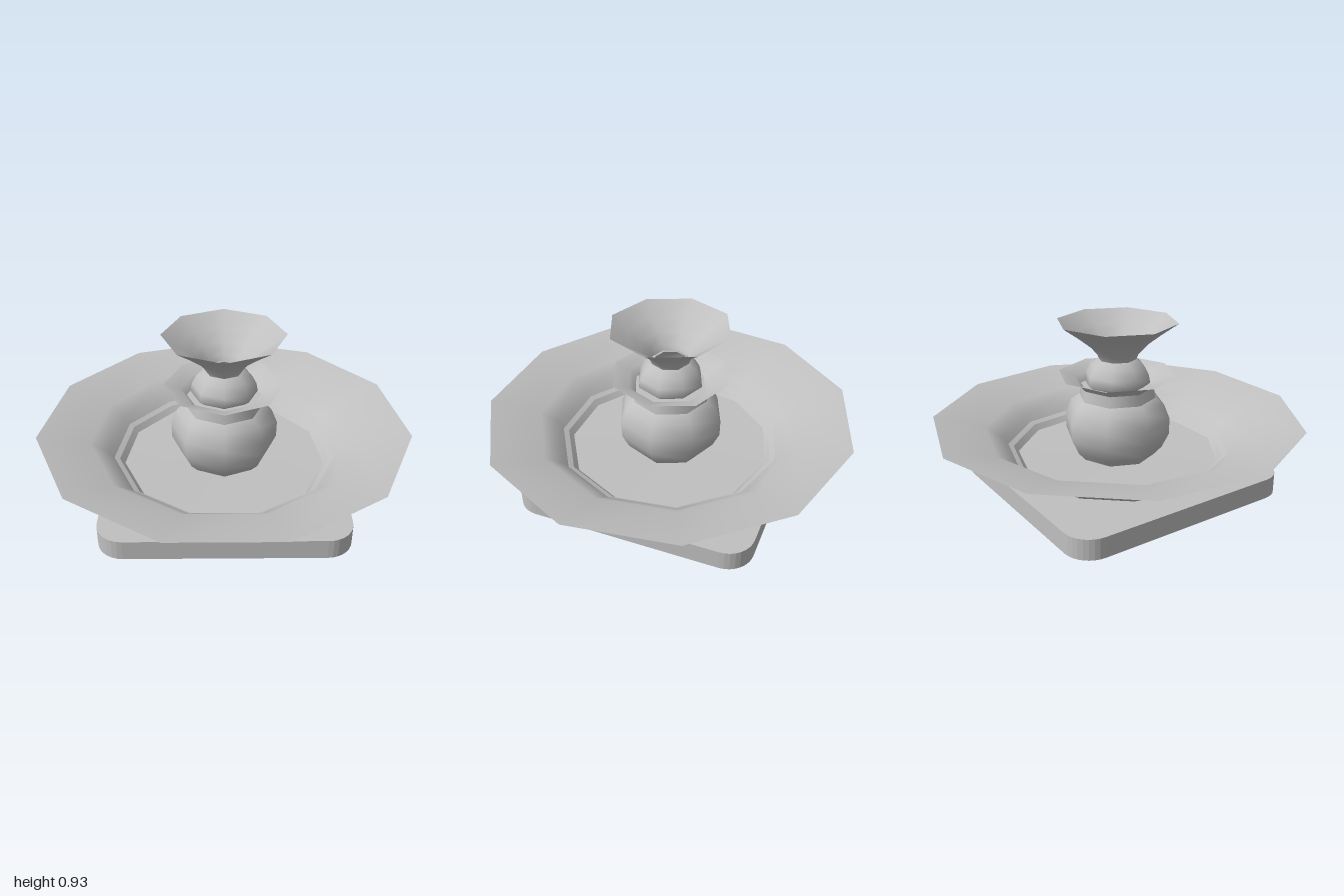
import * as THREE from 'three';

const stone = new THREE.MeshStandardMaterial({ color: 0xc0c0c0, side: THREE.DoubleSide });
stone.name = 'grey stone';

// Turned part from [radius, height] pairs
function turned(name, points, sides, turn = 0) {
  const profile = points.map(([r, y]) => new THREE.Vector2(r, y));
  const mesh = new THREE.Mesh(new THREE.LatheGeometry(profile, sides), stone);
  mesh.name = name;
  mesh.rotation.y = turn;
  return mesh;
}

// Square plinth with rounded corners
function plinth(halfX, halfZ, radius, bottom, top) {
  const x = halfX - radius, z = halfZ - radius;
  const shape = new THREE.Shape();
  shape.absarc(x, z, radius, 0, Math.PI / 2);
  shape.absarc(-x, z, radius, Math.PI / 2, Math.PI);
  shape.absarc(-x, -z, radius, Math.PI, Math.PI * 1.5);
  shape.absarc(x, -z, radius, Math.PI * 1.5, Math.PI * 2);
  const geometry = new THREE.ExtrudeGeometry(shape, {
    depth: top - bottom, bevelEnabled: false, curveSegments: 4,
  });
  geometry.rotateX(-Math.PI / 2).translate(0, bottom, 0);
  const mesh = new THREE.Mesh(geometry, stone);
  mesh.name = 'plinth';
  return mesh;
}

export function createModel() {
  const model = new THREE.Group();
  model.name = 'fountain';

  // Base
  const base = new THREE.Group();
  base.name = 'base';
  base.position.z = 0.022;
  base.add(
    plinth(0.65, 0.655, 0.14, 0.015, 0.125),
    turned('foot', [[0, 0], [0.08, 0.002], [0.145, 0.015]], 8),
  );

  // Wide eleven-sided basin: outer wall, and a lining curving down to the floor
  const basin = new THREE.Group();
  basin.name = 'basin';
  basin.position.z = 0.02;
  basin.add(
    turned('basinOuterWall', [[0.58, 0.22], [1.01, 0.4]], 11, Math.PI),
    turned('basinFoot', [[0.495, 0.125], [0.58, 0.22]], 11, Math.PI),
    turned('basinLining', [[0.575, 0.19], [0.64, 0.27], [0.73, 0.335], [1.01, 0.4]], 11, Math.PI),
    turned('basinFloor', [[0.575, 0.19], [0, 0.18]], 11, Math.PI),
  );

  // Eight-sided column: bulb, collar, flared dish, dome and trumpet
  const column = new THREE.Group();
  column.name = 'column';
  column.position.z = 0.016;
  column.add(
    turned('bulb', [[0.2, 0.175], [0.25, 0.23], [0.288, 0.31], [0.29, 0.4], [0.258, 0.48], [0.21, 0.515]], 8),
    turned('collar', [[0.21, 0.515], [0.2, 0.575]], 8),
    turned('dish', [[0.2, 0.575], [0.235, 0.612], [0.322, 0.642]], 8),
    turned('dishFloor', [[0.2, 0.575], [0.15, 0.575]], 8),
    turned('dome', [[0.15, 0.575], [0.18, 0.6], [0.172, 0.645], [0.145, 0.695], [0.1, 0.728], [0.085, 0.73]], 8),
    turned('trumpet', [[0.1, 0.72], [0.115, 0.755], [0.165, 0.81], [0.235, 0.865], [0.326, 0.93]], 8),
  );

  model.add(base, basin, column);
  return model;
}
